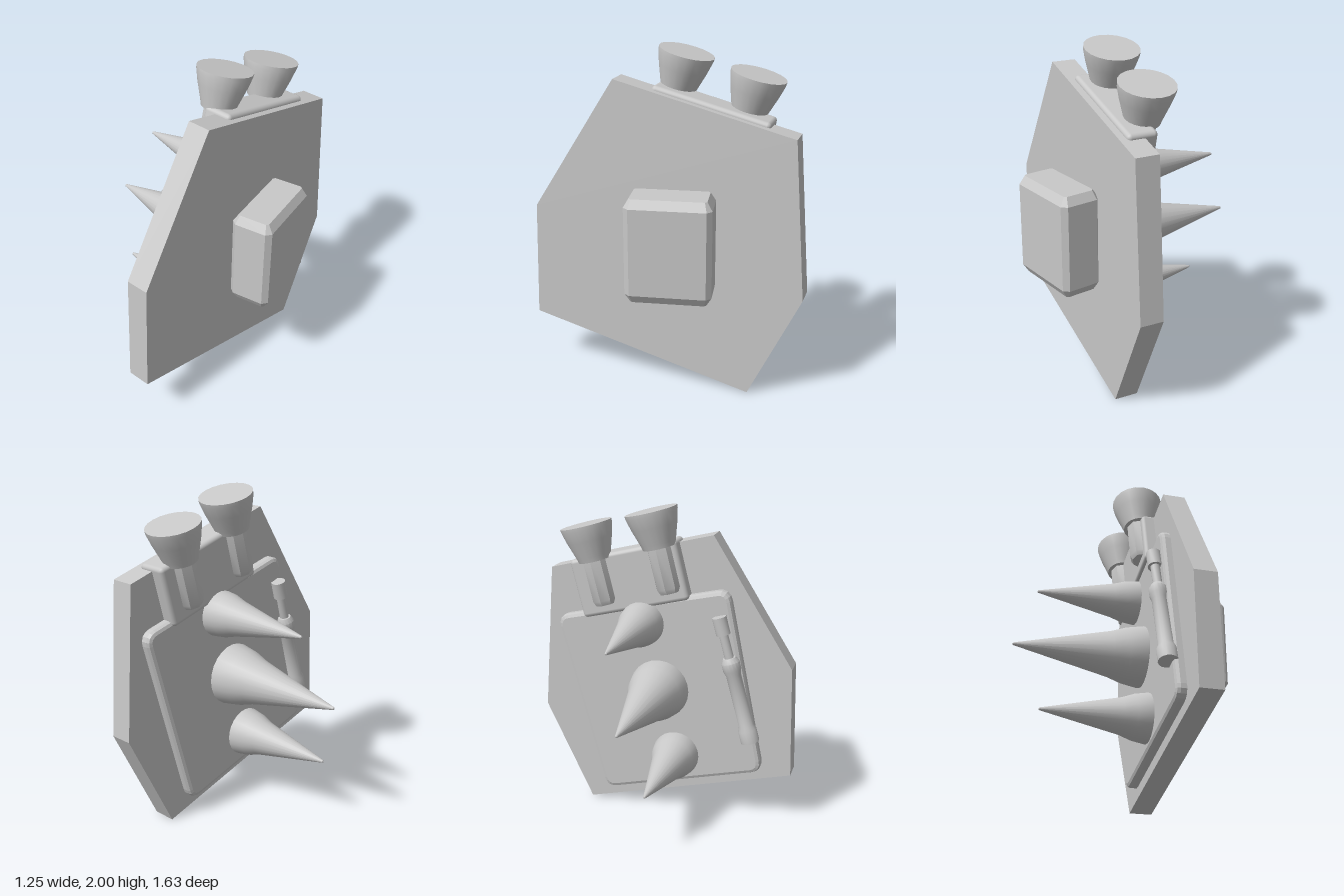
import * as THREE from 'three';
import { toCreasedNormals } from 'three/addons/utils/BufferGeometryUtils.js';
import { RoundedBoxGeometry } from 'three/addons/geometries/RoundedBoxGeometry.js';

const V = (x, y) => new THREE.Vector2(x, y);

// Polygon outline, optionally with rounded corners
function outline(points, radius = 0) {
  const pts = points.map(([a, b]) => V(a, b));
  if (!radius) return new THREE.Shape(pts);
  const shape = new THREE.Shape();
  pts.forEach((p, i) => {
    const prev = pts[(i + pts.length - 1) % pts.length];
    const next = pts[(i + 1) % pts.length];
    const a = p.clone().add(prev.clone().sub(p).setLength(radius));
    const b = p.clone().add(next.clone().sub(p).setLength(radius));
    if (i === 0) shape.moveTo(a.x, a.y);
    else shape.lineTo(a.x, a.y);
    shape.quadraticCurveTo(p.x, p.y, b.x, b.y);
  });
  shape.closePath();
  return shape;
}

// Slab from a (z, y) outline, growing from x0 toward -x
function slab(points, radius, x0, options) {
  const geo = new THREE.ExtrudeGeometry(outline(points, radius), { curveSegments: 4, ...options });
  geo.rotateY(-Math.PI / 2);
  geo.translate(x0, 0, 0);
  return geo;
}

// Lathe from [radius, height] pairs, smooth except at hard edges
function turned(profile, sides) {
  const geo = new THREE.LatheGeometry(profile.map(([r, h]) => V(r, h)), sides);
  return toCreasedNormals(geo, 0.6);
}

export function createModel() {
  const grey = new THREE.MeshStandardMaterial({ color: 0xc8c8c8 });
  grey.name = 'light grey';
  const model = new THREE.Group();
  const add = (parent, name, geo, x = 0, y = 0, z = 0) => {
    const mesh = new THREE.Mesh(geo, grey);
    mesh.name = name;
    mesh.position.set(x, y, z);
    parent.add(mesh);
    return mesh;
  };

  // Everything fixed to the plate shares its slight turn
  const body = new THREE.Group();
  body.name = 'armourPlateAssembly';
  body.position.x = 0.272;
  body.rotation.y = THREE.MathUtils.degToRad(-10);
  model.add(body);

  // Six-sided main plate
  add(body, 'armourPlate', slab(
    [[-0.51, 0], [0.82, 0.335], [0.8, 1.03], [0.3, 1.82], [-0.745, 1.56], [-0.815, 0.635]],
    0, 0.07, { depth: 0.14, bevelEnabled: false }));

  // Raised inner panel with rounded rim
  add(body, 'innerPanel', slab(
    [[-0.37, 0.13], [0.62, 0.375], [0.39, 1.48], [-0.67, 1.24]],
    0.05, -0.06, { depth: 0.045, bevelThickness: 0.025, bevelSize: 0.025, bevelSegments: 2 }));

  // Spikes: straight cone with a flared foot, pointing along -x
  for (const [name, y, z, tip, length, r, foot] of [
    ['upperSpike', 1.26, -0.13, -0.766, 0.64, 0.108, 0.14],
    ['middleSpike', 0.84, -0.02, -0.92, 0.79, 0.142, 0.19],
    ['lowerSpike', 0.41, 0.09, -0.768, 0.64, 0.11, 0.15],
  ]) {
    const cone = length * 0.75;
    const geo = turned([
      [foot, -0.02], [foot, 0.01], [(foot + r) / 2 + 0.006, (length - cone) * 0.55],
      [r, length - cone], [0.008, length - 0.005], [0, length],
    ], 24);
    geo.rotateZ(Math.PI / 2);
    add(body, name, geo, tip + length, y, z);
  }

  // Exhausts on a bracket square to the sloping top edge
  const exhausts = new THREE.Group();
  exhausts.name = 'exhausts';
  exhausts.position.set(0, 1.684, -0.25);
  exhausts.rotation.x = THREE.MathUtils.degToRad(-14);
  body.add(exhausts);
  add(exhausts, 'exhaustBracket', new RoundedBoxGeometry(0.18, 0.37, 0.7, 2, 0.025), -0.06, -0.16, 0);
  for (const [side, z] of [['front', 0.242], ['rear', -0.184]]) {
    add(exhausts, side + 'ExhaustCup', turned([
      [0, 0], [0.1, 0], [0.108, 0.03], [0.14, 0.13], [0.158, 0.2], [0.16, 0.223], [0, 0.223],
    ], 20), -0.135, 0, z);
    add(exhausts, side + 'ExhaustStem', turned([
      [0, -0.28], [0.065, -0.28], [0.08, -0.25], [0.08, 0.01], [0, 0.01],
    ], 8), -0.135, 0, z);
  }

  // Piston leaning across the panel
  const low = new THREE.Vector3(-0.152, 0.57, 0.575);
  const high = new THREE.Vector3(-0.161, 1.35, 0.364);
  const len = low.distanceTo(high);
  const piston = add(body, 'piston', turned([
    [0, 0], [0.058, 0], [0.058, 0.08], [0.046, 0.11], [0.046, 0.44], [0.056, 0.47],
    [0.056, 0.52], [0.04, 0.55], [0.028, 0.55], [0.028, len - 0.11], [0.044, len - 0.11],
    [0.044, len], [0, len],
  ], 16), low.x, low.y, low.z);
  piston.quaternion.setFromUnitVectors(
    new THREE.Vector3(0, 1, 0), high.clone().sub(low).normalize());

  // Chamfered block on the outer face, square to the model's axes
  const hx = 0.095, hz = 0.215, c = 0.012;
  const block = new THREE.ExtrudeGeometry(outline([
    [-hx + c, -hz], [hx - c, -hz], [hx, -hz + c], [hx, hz - c],
    [hx - c, hz], [-hx + c, hz], [-hx, hz - c], [-hx, -hz + c],
  ]), { depth: 0.51, bevelThickness: 0.05, bevelSize: 0.03, bevelSegments: 1 });
  block.rotateX(-Math.PI / 2);
  add(model, 'outerBlock', block, 0.498, 0.67, -0.045);

  return model;
}
